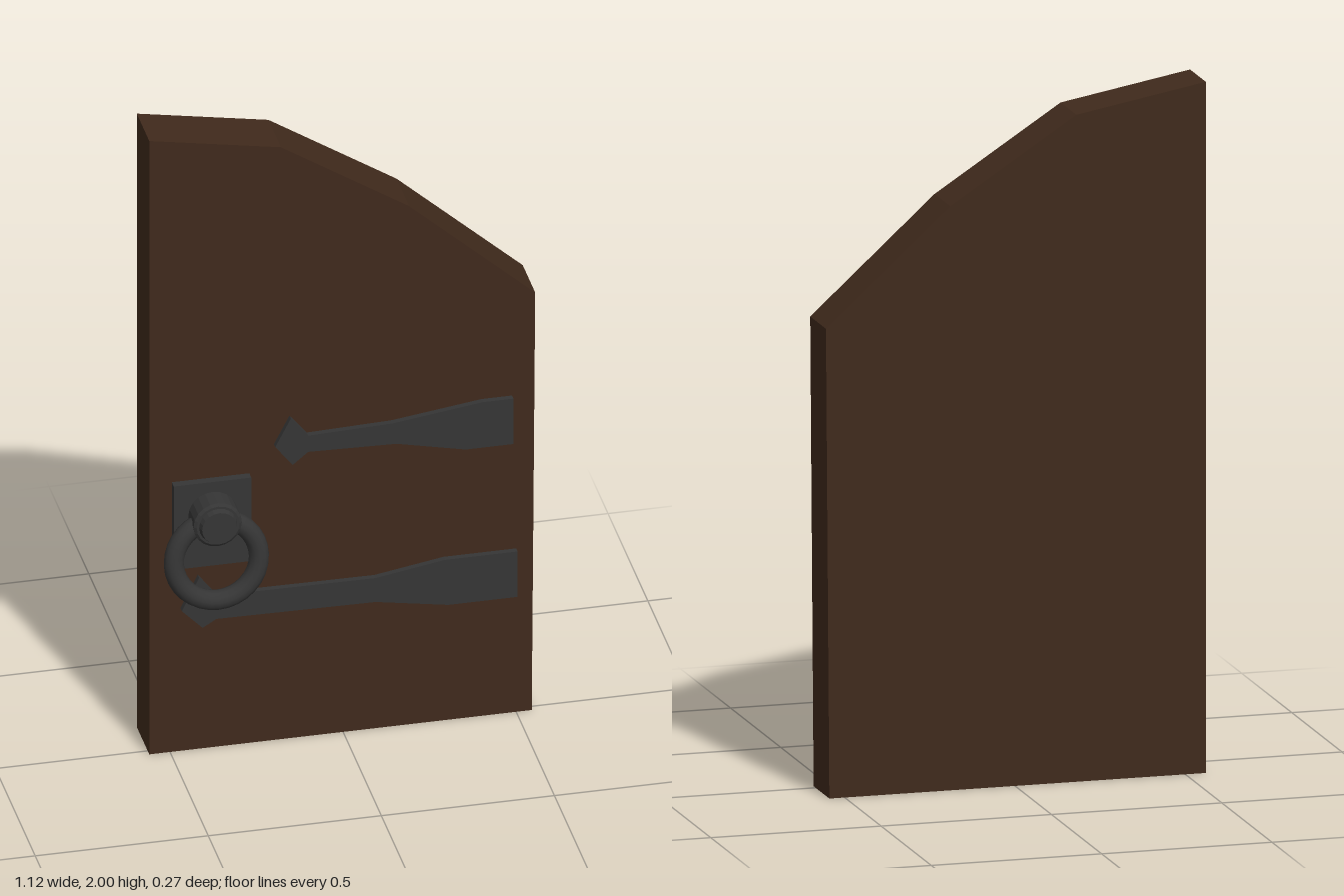
import * as THREE from 'three';

export function createModel() {
  const door = new THREE.Group();
  door.name = 'archedDoor';
  const wood = new THREE.MeshStandardMaterial({ color: 0x402a1c, flatShading: true });
  const iron = new THREE.MeshStandardMaterial({ color: 0x353535, flatShading: true });
  const smoothIron = new THREE.MeshStandardMaterial({ color: 0x353535 });

  const add = (name, geometry, material, x = 0, y = 0, z = 0) => {
    const mesh = new THREE.Mesh(geometry, material);
    mesh.name = name;
    mesh.position.set(x, y, z);
    door.add(mesh);
    return mesh;
  };
  // Flat outline pushed forward from z by depth
  const slab = (name, points, z, depth, material) => {
    const shape = new THREE.Shape(points.map(([x, y]) => new THREE.Vector2(x, y)));
    return add(name, new THREE.ExtrudeGeometry(shape, { depth, bevelEnabled: false }), material, 0, 0, z);
  };

  // Half-arch door leaf
  slab('doorLeaf', [
    [-0.56, 0], [0.545, 0], [0.555, 1.36], [0.19, 1.69], [-0.18, 1.93], [-0.56, 2],
  ], -0.137, 0.157, wood);

  // Hinge straps flaring toward the hinge side, with a pointed tip
  slab('upperHingeStrap', [
    [0.488, 0.885], [0.35, 0.885], [0.15, 0.93], [-0.105, 0.937], [-0.15, 0.9], [-0.2, 0.965],
    [-0.155, 1.052], [-0.105, 0.99], [0.14, 0.998], [0.4, 1.033], [0.488, 1.033],
  ], 0.015, 0.023, iron);
  slab('lowerHingeStrap', [
    [0.5, 0.385], [0.3, 0.385], [0.09, 0.422], [-0.37, 0.427], [-0.41, 0.403], [-0.47, 0.465],
    [-0.42, 0.568], [-0.37, 0.503], [0.09, 0.5], [0.29, 0.533], [0.5, 0.533],
  ], 0.015, 0.023, iron);

  // Handle back plate
  add('handlePlate', new THREE.BoxGeometry(0.224, 0.272, 0.03), iron, -0.383, 0.743, 0.03);

  // Turned boss that carries the ring
  const profile = [[0.07, 0], [0.07, 0.07], [0.062, 0.076], [0.055, 0.076], [0.05, 0.092], [0, 0.092]];
  const boss = new THREE.LatheGeometry(profile.map(([r, h]) => new THREE.Vector2(r, h)), 20);
  boss.rotateX(Math.PI / 2);
  add('ringBoss', boss, iron, -0.383, 0.777, 0.04);

  // Pull ring, hanging slightly forward at the bottom
  const ring = add('pullRing', new THREE.TorusGeometry(0.123, 0.029, 12, 32), smoothIron, -0.383, 0.654, 0.093);
  ring.rotation.x = -0.13;

  return door;
}
